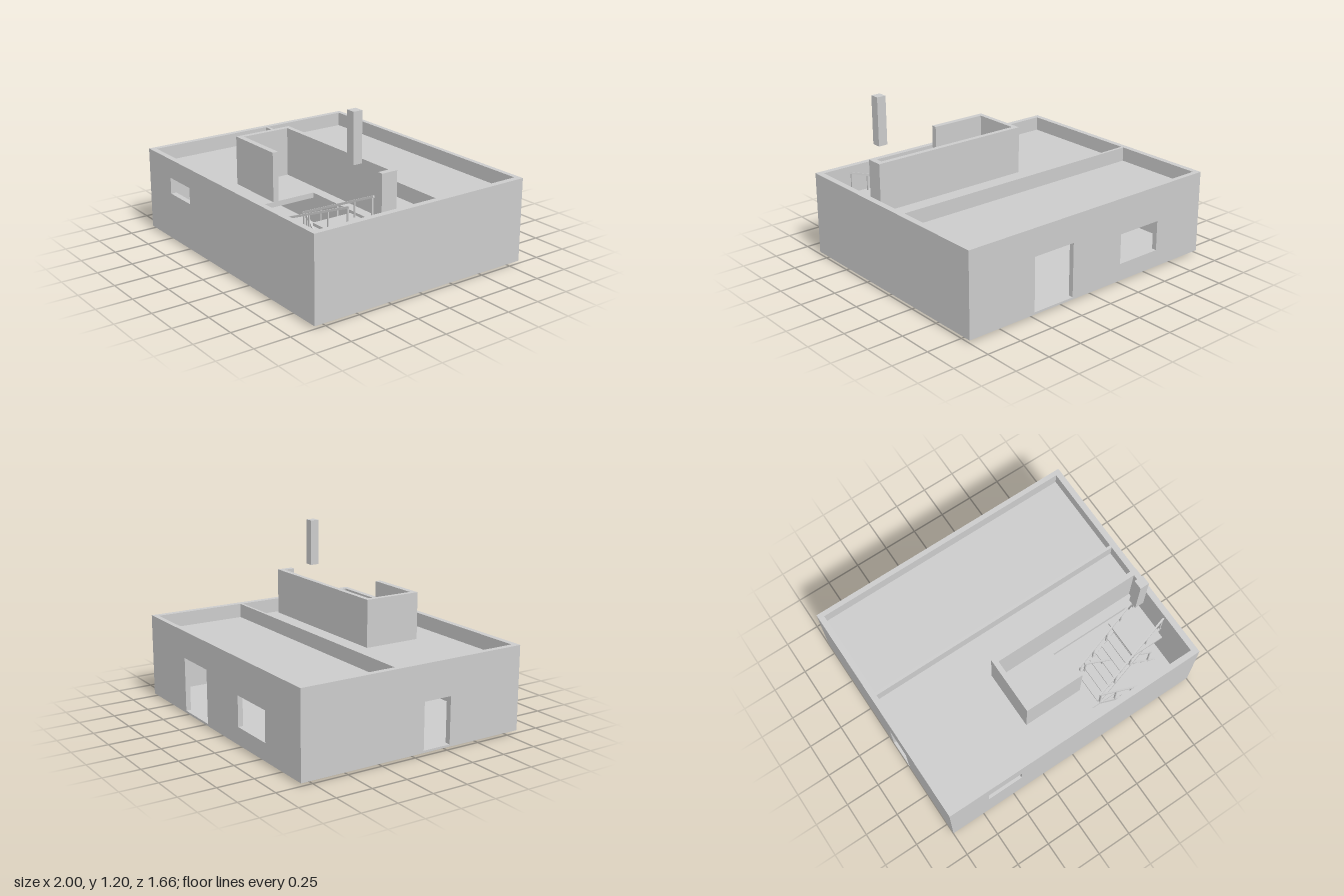
import * as THREE from 'three';

const material = new THREE.MeshStandardMaterial({ color: 0xcccccc, flatShading: true });

// Box given by its extents on each axis
function box(parent, name, [x0, x1], [y0, y1], [z0, z1]) {
  const mesh = new THREE.Mesh(new THREE.BoxGeometry(x1 - x0, y1 - y0, z1 - z0), material);
  mesh.position.set((x0 + x1) / 2, (y0 + y1) / 2, (z0 + z1) / 2);
  mesh.name = name;
  parent.add(mesh);
  return mesh;
}

// Straight bar between two points
function beam(parent, name, a, b, width, height) {
  const mesh = new THREE.Mesh(new THREE.BoxGeometry(width, height, a.distanceTo(b)), material);
  mesh.position.copy(a).lerp(b, 0.5);
  mesh.lookAt(b);
  mesh.name = name;
  parent.add(mesh);
}

// Upright wall outline with rectangular openings, extruded by its thickness
function wall(parent, name, [u0, u1], [y0, y1], thickness, openings) {
  const rect = (target, a, b, c, d) => {
    target.moveTo(a, c).lineTo(b, c).lineTo(b, d).lineTo(a, d).closePath();
    return target;
  };
  const shape = rect(new THREE.Shape(), u0, u1, y0, y1);
  for (const [a, b, c, d] of openings) shape.holes.push(rect(new THREE.Path(), a, b, c, d));
  const geometry = new THREE.ExtrudeGeometry(shape, { depth: thickness, bevelEnabled: false });
  const mesh = new THREE.Mesh(geometry, material);
  mesh.name = name;
  parent.add(mesh);
  return mesh;
}

// One stair flight with treads, stringers, handrails and posts.
// Sides are pairs of points [low end, high end] at walking level.
function flight(parent, name, sides, rails, steps, railHeight) {
  const group = new THREE.Group();
  group.name = name;
  const [p, q] = sides;
  for (let i = 0; i < steps; i++) {
    const t = (i + 0.5) / steps;
    const a = p[0].clone().lerp(p[1], t);
    const b = q[0].clone().lerp(q[1], t);
    const x = (a.x + b.x) / 2;
    const y = a.y + 0.012;
    const depth = Math.abs(p[1].x - p[0].x) / steps / 2 + 0.004;
    box(group, 'tread', [x - depth, x + depth], [y - 0.012, y],
      [Math.min(a.z, b.z), Math.max(a.z, b.z)]);
  }
  for (const [low, high] of sides) beam(group, 'stringer', low, high, 0.014, 0.03);
  const up = new THREE.Vector3(0, railHeight, 0);
  sides.forEach(([low, high], s) => {
    const [t0, t1] = rails[s];
    const a = low.clone().lerp(high, t0);
    const b = low.clone().lerp(high, t1);
    beam(group, 'handrail', a.clone().add(up), b.clone().add(up), 0.012, 0.014);
    for (let i = 0; i < 5; i++) {
      const c = a.clone().lerp(b, 0.02 + i * 0.24);
      box(group, 'railPost', [c.x - 0.005, c.x + 0.005], [c.y, c.y + railHeight],
        [c.z - 0.005, c.z + 0.005]);
    }
  });
  parent.add(group);
}

export function createModel() {
  const model = new THREE.Group();
  model.name = 'house';
  const V = (x, y, z) => new THREE.Vector3(x, y, z);

  // Outer walls, rising above the roof as a parapet
  const height = [0.02, 0.6];
  wall(model, 'frontWall', [-1, 1], height, 0.04, [[-0.7, -0.44, 0.35, 0.465]])
    .position.z = 0.79;
  wall(model, 'backWall', [-1, 1], height, 0.035,
    [[0.17, 0.49, 0.035, 0.41], [-0.59, -0.25, 0.14, 0.35]]).position.z = -0.83;
  const side = wall(model, 'rightWall', [-0.795, 0.79], height, 0.04,
    [[0.065, 0.27, 0.035, 0.355]]);
  side.rotation.y = -Math.PI / 2;
  side.position.x = -0.96;
  box(model, 'leftWall', [0.957, 1], height, [-0.795, 0.79]);
  box(model, 'partitionWall', [-0.96, 0.957], height, [-0.14, -0.12]);
  box(model, 'floor', [-0.96, 0.957], [0.02, 0.035], [-0.795, 0.79]);

  // Roof slabs, leaving the stairwell open
  const slab = [0.465, 0.5];
  box(model, 'backRoof', [-0.96, 0.957], slab, [-0.795, -0.14]);
  box(model, 'frontRoof', [-0.96, 0.2], slab, [-0.12, 0.79]);
  box(model, 'stairwellRoof', [0.2, 0.957], slab, [-0.12, 0.27]);

  // Open rooftop enclosure around the stairwell
  const enclosure = new THREE.Group();
  enclosure.name = 'rooftopEnclosure';
  const tall = [0.5, 0.83];
  box(enclosure, 'enclosureBackWall', [-0.235, 0.925], tall, [0.165, 0.2]);
  box(enclosure, 'enclosureRightWall', [-0.235, -0.2], tall, [0.2, 0.54]);
  box(enclosure, 'enclosureFrontWall', [-0.235, 0.2], tall, [0.54, 0.58]);
  box(enclosure, 'enclosureLeftWall', [0.885, 0.925], tall, [0.2, 0.28]);
  model.add(enclosure);

  // Two splayed flights meeting at a half landing
  box(model, 'halfLanding', [0.22, 0.47], [0.235, 0.255], [0.43, 0.68]);
  flight(model, 'lowerFlight', [
    [V(0.9, 0.015, 0.585), V(0.35, 0.25, 0.43)],
    [V(0.85, 0.015, 0.8), V(0.31, 0.25, 0.67)],
  ], [[0.1, 1], [0.13, 1]], 10, 0.18);
  flight(model, 'upperFlight', [
    [V(0.31, 0.25, 0.43), V(0.86, 0.49, 0.29)],
    [V(0.31, 0.25, 0.67), V(0.92, 0.49, 0.52)],
  ], [[0, 1], [0, 1]], 10, 0.18);
  box(model, 'topLanding', [0.64, 0.885], [0.48, 0.5], [0.3, 0.585]);

  // Free-hanging square column above the stairs
  box(model, 'column', [0.74, 0.805], [0.875, 1.205], [0.34, 0.405]);
  return model;
}
